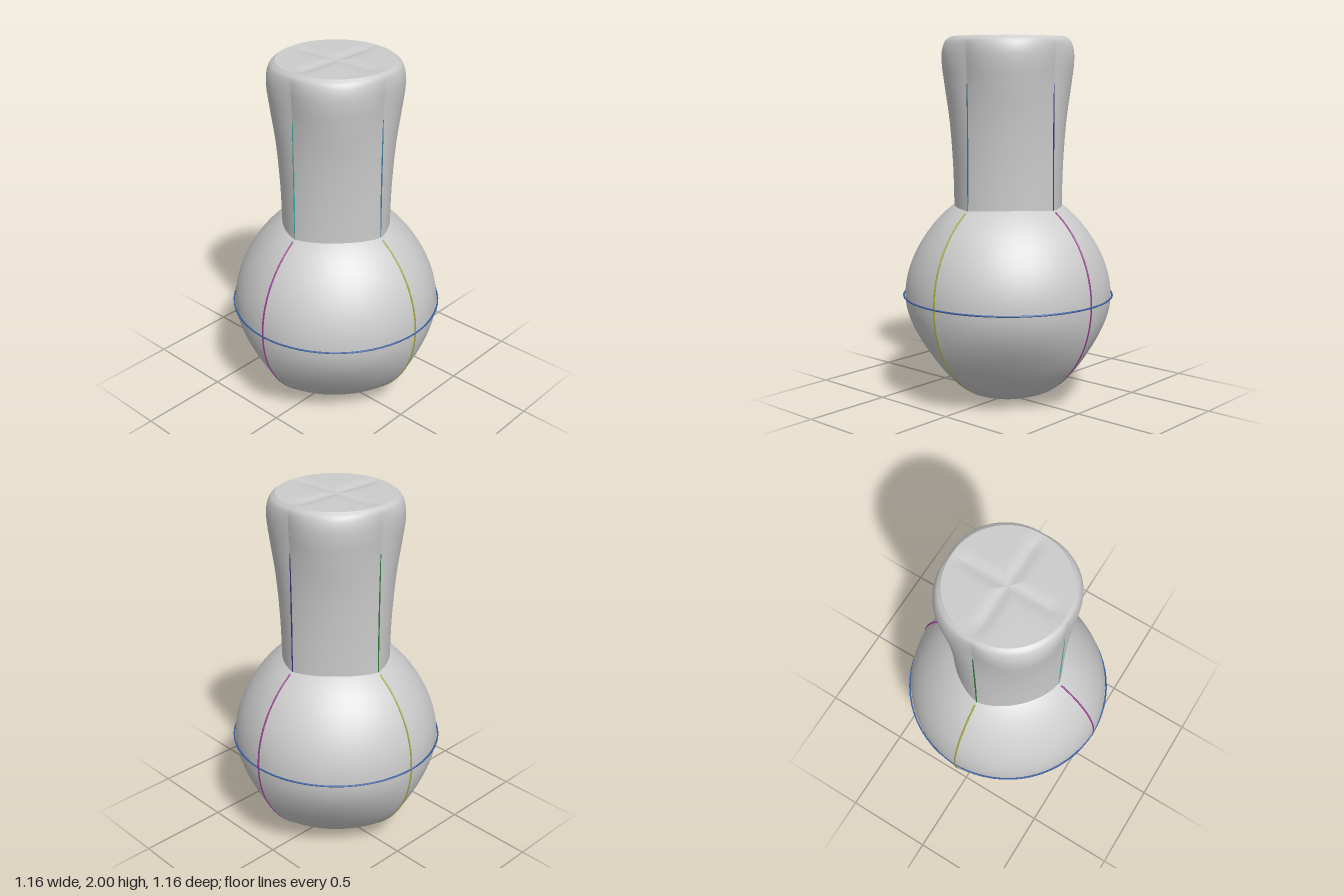
import * as THREE from 'three';

const SEG = 24; // steps around each quarter
const RX = 0.578, RY = 0.59, CY = 0.59; // bulb radii and centre height

const grey = new THREE.MeshStandardMaterial({ color: 0xcccccc, side: THREE.DoubleSide });

// Quarter surface from +x to +z; point(theta, v) gives [radius, height]
function quarterPatch(rows, point) {
  const pos = [], idx = [];
  for (let j = 0; j <= rows; j++) {
    for (let i = 0; i <= SEG; i++) {
      const t = (i / SEG) * Math.PI / 2;
      const [r, y] = point(t, j / rows);
      pos.push(r * Math.cos(t), y, r * Math.sin(t));
      if (i < SEG && j < rows) {
        const a = j * (SEG + 1) + i, b = a + SEG + 1;
        idx.push(a, b, a + 1, a + 1, b, b + 1);
      }
    }
  }
  const g = new THREE.BufferGeometry();
  g.setAttribute('position', new THREE.Float32BufferAttribute(pos, 3));
  g.setIndex(idx);
  g.computeVertexNormals();
  return g;
}

// Four turned copies, so the seams between quarters stay creased
function fourPatches(name, rows, point) {
  const group = new THREE.Group();
  group.name = name;
  const geo = quarterPatch(rows, point);
  for (let k = 0; k < 4; k++) {
    const m = new THREE.Mesh(geo, grey);
    m.name = name + 'Quarter';
    m.rotation.y = k * Math.PI / 2;
    group.add(m);
  }
  return group;
}

function wire(name, points, color, closed = false) {
  const curve = new THREE.CatmullRomCurve3(points, closed);
  const m = new THREE.Mesh(
    new THREE.TubeGeometry(curve, 64, 0.005, 6, closed),
    new THREE.MeshStandardMaterial({ color }));
  m.name = name;
  return m;
}

const diagonal = t => Math.abs(Math.sin(2 * t)); // 0 on the axes, 1 between them

// Bulb: round along the four ribs, flatter between them
const bulbPoint = (lat, flat) => t => {
  const s = Math.sin(2 * lat);
  const a = 0.015 + flat * s * s;
  return [RX * Math.cos(lat) * (1 - a * diagonal(t)), CY + RY * Math.sin(lat)];
};

// Neck profile: x = radius on the axes, y = height, z = radius on the diagonals
const neckCurve = new THREE.CatmullRomCurve3([
  [0.325, 1.0, 0.293], [0.322, 1.1, 0.295], [0.32, 1.3, 0.30], [0.32, 1.55, 0.318],
  [0.322, 1.75, 0.345], [0.328, 1.86, 0.358], [0.33, 1.93, 0.355],
  [0.325, 1.975, 0.338], [0.308, 1.997, 0.312],
].map(p => new THREE.Vector3(...p)));

export function createModel() {
  const model = new THREE.Group();
  model.name = 'roundFlask';

  // Bulb
  const topLat = Math.asin((1.1 - CY) / RY);
  model.add(fourPatches('lowerBulb', 28, (t, v) => bulbPoint((v - 1) * Math.PI / 2, 0.12)(t)));
  model.add(fourPatches('upperBulb', 20, (t, v) => bulbPoint(v * topLat, 0.04)(t)));

  // Neck with rounded rim
  model.add(fourPatches('neck', 48, (t, v) => {
    const p = neckCurve.getPoint(v);
    return [p.x + (p.z - p.x) * diagonal(t), p.y];
  }));

  // Closed top with a shallow cross-shaped groove
  model.add(fourPatches('topCap', 20, (t, v) => {
    const r = (0.308 + 0.004 * diagonal(t)) * (1 - v);
    const d = r * Math.min(Math.cos(t), Math.sin(t)) / 0.035;
    return [r, 1.997 - 0.01 * Math.exp(-d * d) * Math.min(1, 4 * v)];
  }));

  // Coloured guide wires: ribs and equator of the bulb
  const ring = [];
  for (let i = 0; i < 32; i++) {
    const a = i / 32 * Math.PI * 2;
    ring.push(new THREE.Vector3(RX * Math.cos(a), CY, RX * Math.sin(a)));
  }
  model.add(wire('equatorWire', ring, 0x3a64a8, true));
  const neckColors = [0x3f7fa0, 0x3a3088, 0x2f7a3a, 0x45b5ae]; // +x, -z, -x, +z
  for (let k = 0; k < 4; k++) {
    const rib = [];
    for (let i = 0; i <= 20; i++) {
      const lat = -Math.PI / 2 + (Math.asin(0.48 / RY) + Math.PI / 2) * i / 20;
      rib.push(new THREE.Vector3(RX * Math.cos(lat), CY + 0.003 + (RY - 0.003) * Math.sin(lat), 0));
    }
    const side = new THREE.Group();
    side.name = 'guideWires';
    side.add(wire('ribWire', rib, k % 2 ? 0x9a3a94 : 0xa8a83c));
    side.add(wire('neckWire', [1.08, 1.3, 1.55, 1.75].map(
      y => new THREE.Vector3(0.318, y, 0)), neckColors[k]));
    side.rotation.y = k * Math.PI / 2;
    model.add(side);
  }
  return model;
}
